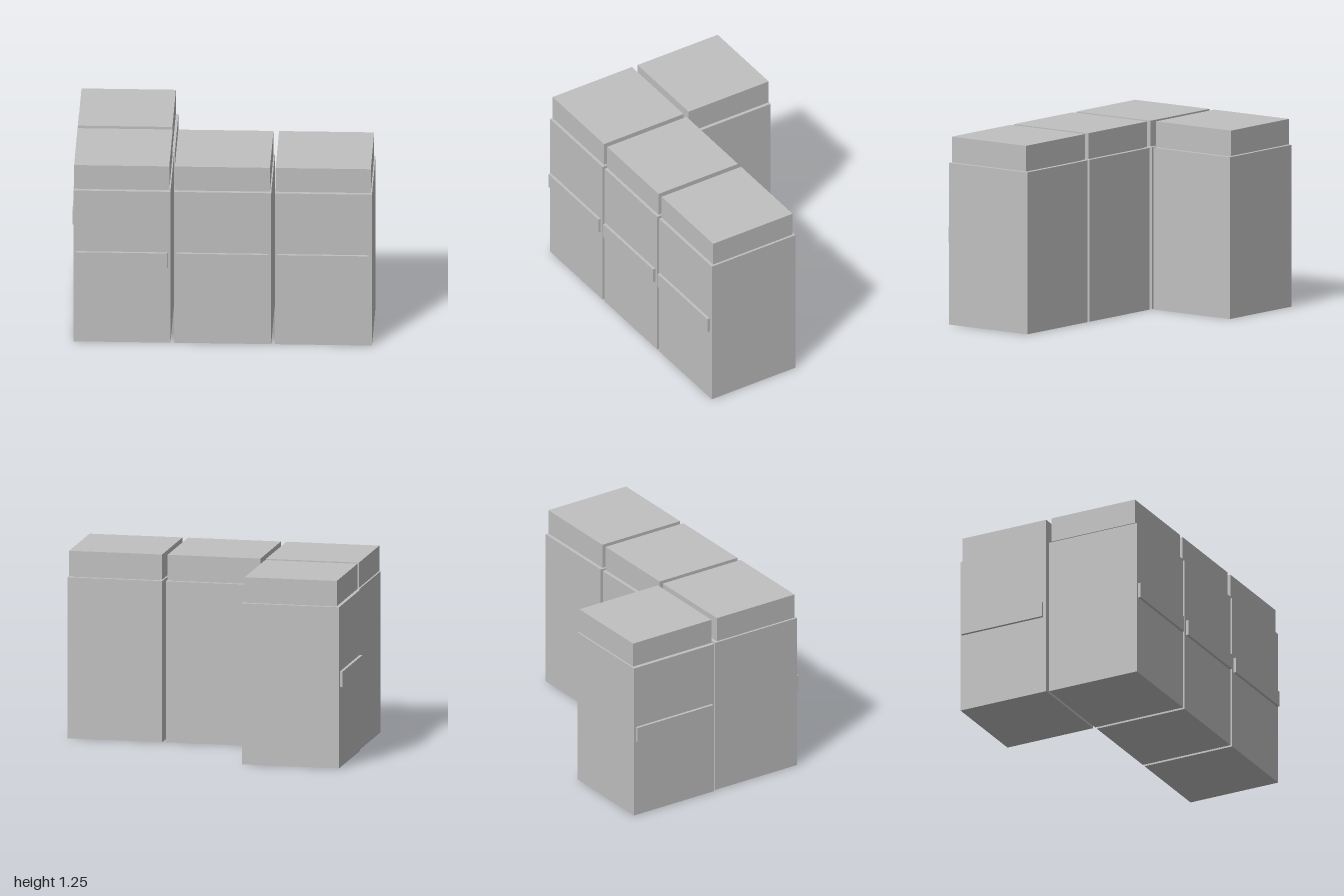
import * as THREE from 'three';

const paintedGrey = new THREE.MeshStandardMaterial({ color: 0xc0c0c0 });
paintedGrey.name = 'paintedGrey';

function addBox(group, name, [w, h, d], [x, y, z]) {
  const mesh = new THREE.Mesh(new THREE.BoxGeometry(w, h, d), paintedGrey);
  mesh.name = name;
  mesh.position.set(x, y, z);
  group.add(mesh);
}

// One cabinet facing +z, standing on y = 0 and centred on its body
function createCabinet(name) {
  const cabinet = new THREE.Group();
  cabinet.name = name;
  addBox(cabinet, 'body', [0.64, 1.079, 0.655], [0, 0.5395, 0]);
  addBox(cabinet, 'neck', [0.585, 0.008, 0.6], [-0.002, 1.082, 0]);
  addBox(cabinet, 'lid', [0.627, 0.169, 0.622], [-0.002, 1.1695, 0]);
  addBox(cabinet, 'handle', [0.605, 0.105, 0.019], [-0.003, 0.594, 0.339]);
  return cabinet;
}

export function createModel() {
  const model = new THREE.Group();
  model.name = 'cabinetRow';

  // Front row of three
  for (let i = 0; i < 3; i++) {
    const cabinet = createCabinet(`frontCabinet${i + 1}`);
    cabinet.position.set(-0.649 + i * 0.664, 0, 0.32);
    model.add(cabinet);
  }

  // Corner cabinet behind the row, turned to face -x
  const corner = createCabinet('cornerCabinet');
  corner.rotation.y = -Math.PI / 2;
  corner.position.set(-0.652, 0, -0.345);
  model.add(corner);

  return model;
}
